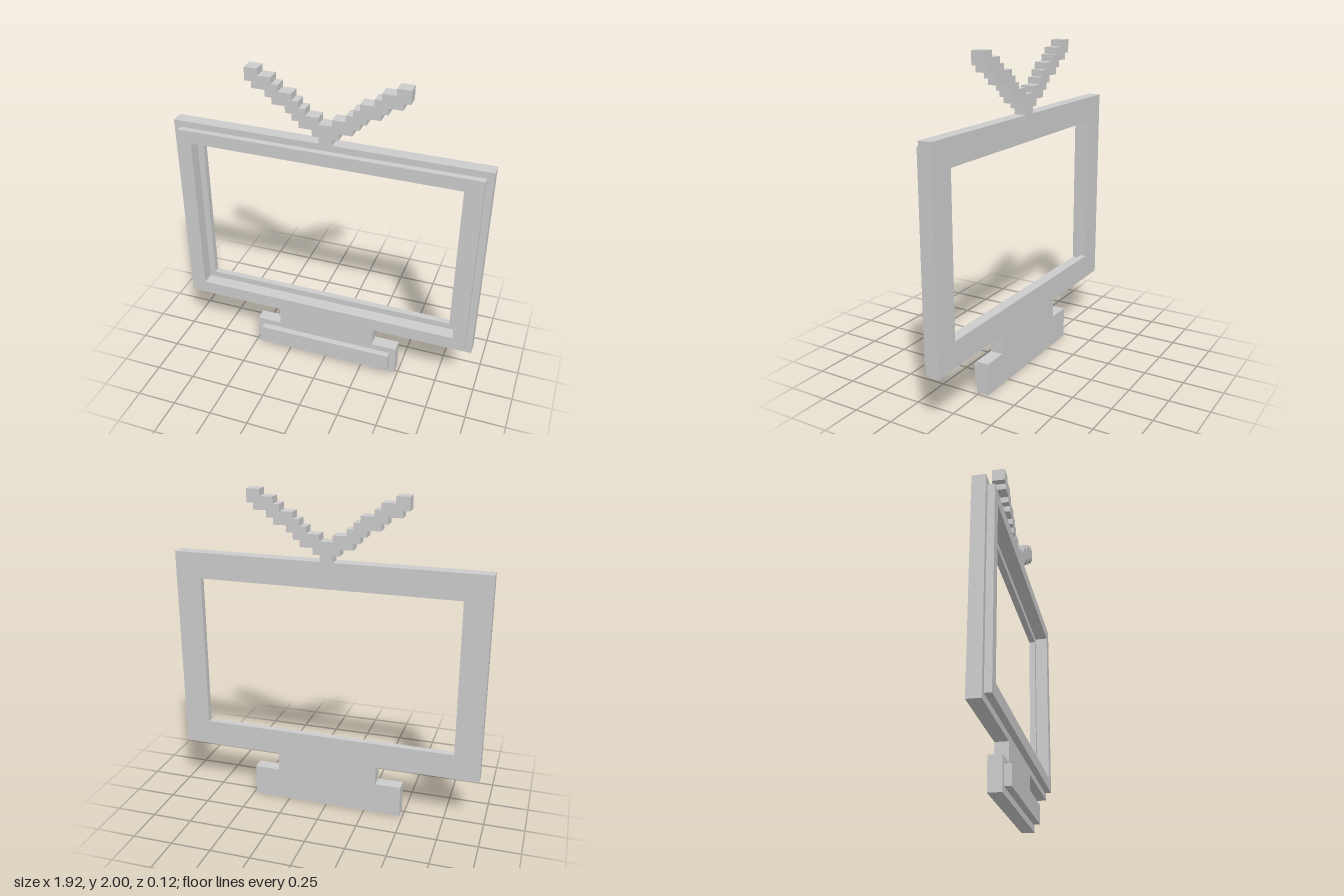
import * as THREE from 'three';

const U = 0.04; // grid step that every part snaps to
const BACK = -0.06;
const material = new THREE.MeshStandardMaterial({ color: 0xcccccc, flatShading: true });

function addMesh(group, name, geometry) {
  const mesh = new THREE.Mesh(geometry, material);
  mesh.name = name;
  group.add(mesh);
}

// Box given by half width, y range and z range
function addBlock(group, name, halfW, y0, y1, z0, z1) {
  const geometry = new THREE.BoxGeometry(2 * halfW, y1 - y0, z1 - z0);
  geometry.translate(0, (y0 + y1) / 2, (z0 + z1) / 2);
  addMesh(group, name, geometry);
}

function addExtrusion(group, name, shape, z0, z1) {
  const geometry = new THREE.ExtrudeGeometry(shape, { depth: z1 - z0, bevelEnabled: false });
  geometry.translate(0, 0, z0);
  addMesh(group, name, geometry);
}

const rectangle = (halfW, y0, y1) => [
  new THREE.Vector2(-halfW, y0), new THREE.Vector2(halfW, y0),
  new THREE.Vector2(halfW, y1), new THREE.Vector2(-halfW, y1),
];

// Rectangular ring: outer half width and height, then those of the opening
function addRing(group, name, outW, outH, inW, inH, z0, z1) {
  const midY = 0.96;
  const shape = new THREE.Shape(rectangle(outW, midY - outH, midY + outH));
  shape.holes.push(new THREE.Path(rectangle(inW, midY - inH, midY + inH).reverse()));
  addExtrusion(group, name, shape, z0, z1);
}

// Stepped V outline: each column is one grid step wide
function antennaShape() {
  const columns = 12;
  const top = (k) => 43 + Math.round(0.7 * Math.min(k, 10));
  const bottom = (k) => (k === 0 ? 40 : 41 + Math.round(0.7 * (k - 1)));
  const right = [];
  for (let k = 0; k < columns; k++) right.push([k, bottom(k)], [k + 1, bottom(k)]);
  for (let k = columns - 1; k >= 0; k--) right.push([k + 1, top(k)], [k, top(k)]);
  // Drop the two points on the centre line and mirror the rest
  const half = right.slice(1, -1);
  const left = half.map(([x, y]) => [-x, y]).reverse();
  return new THREE.Shape([...half, ...left].map(([x, y]) => new THREE.Vector2(x * U, y * U)));
}

export function createModel() {
  const model = new THREE.Group();
  model.name = 'television';

  // Screen surround: back lip, wider-opening middle, raised front bezel
  const screen = new THREE.Group();
  screen.name = 'screenFrame';
  addRing(screen, 'backLip', 0.96, 0.64, 0.80, 0.48, BACK, -0.02);
  addRing(screen, 'casing', 0.96, 0.64, 0.84, 0.52, -0.02, 0.02);
  addRing(screen, 'frontBezel', 0.92, 0.60, 0.84, 0.52, 0.02, 0.06);
  model.add(screen);

  // Stand
  const stand = new THREE.Group();
  stand.name = 'stand';
  addBlock(stand, 'neck', 0.32, 0.20, 0.32, BACK, 0.02);
  addBlock(stand, 'base', 0.48, 0, 0.20, BACK, 0.02);
  addBlock(stand, 'basePanel', 0.44, 0.04, 0.16, 0.02, 0.06);
  model.add(stand);

  // Antenna
  addExtrusion(model, 'antenna', antennaShape(), BACK, 0.02);

  return model;
}
